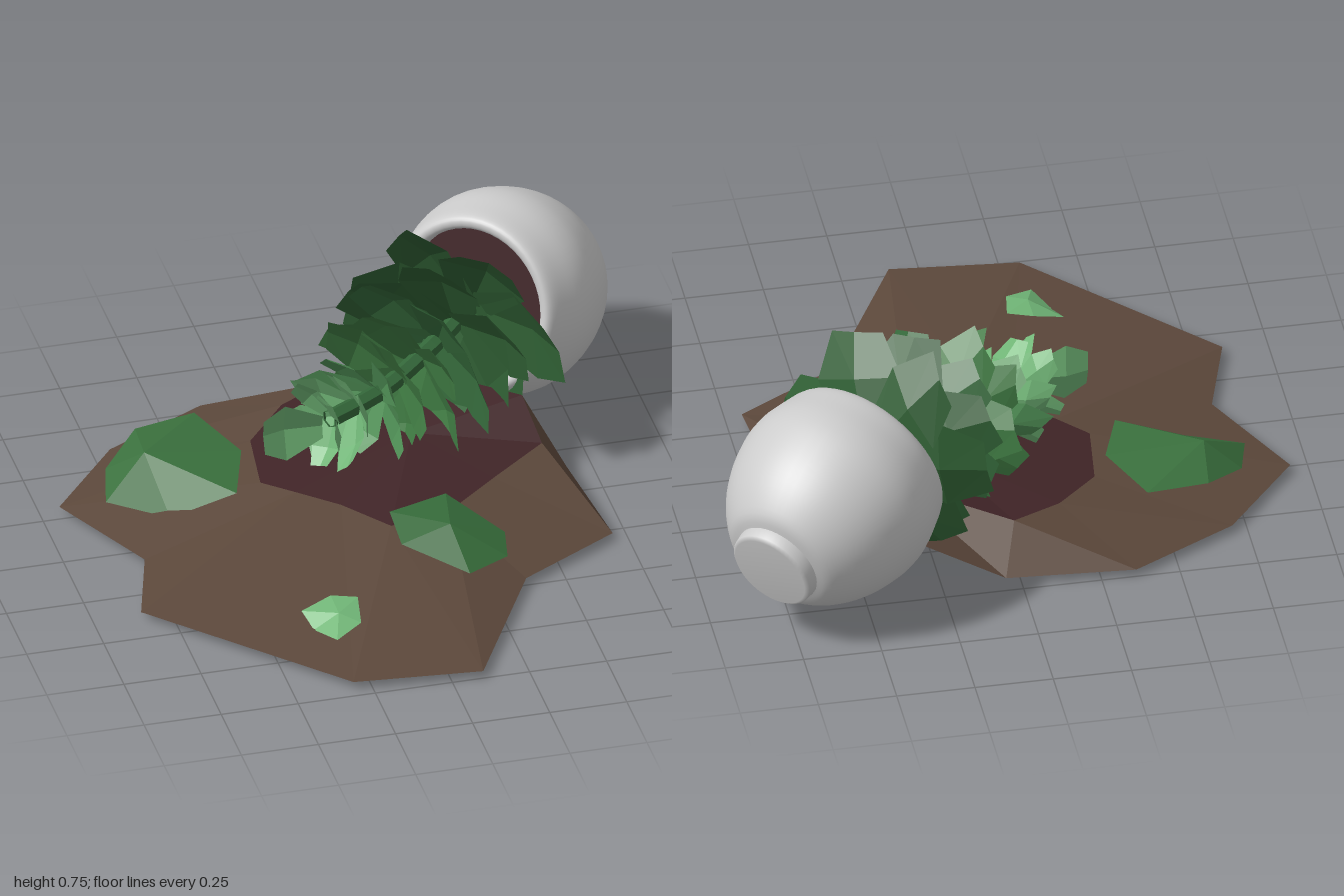
import * as THREE from 'three';

const material = (color, flat = true, side = THREE.FrontSide) =>
  new THREE.MeshStandardMaterial({ color, flatShading: flat, side, roughness: 0.9 });

const V = (x, y, z) => new THREE.Vector3(x, y, z);

function addMesh(parent, name, geometry, mat) {
  const mesh = new THREE.Mesh(geometry, mat);
  mesh.name = name;
  parent.add(mesh);
  return mesh;
}

// Geometry from a flat list of triangle corners
function fromCorners(corners) {
  const geometry = new THREE.BufferGeometry().setFromPoints(corners);
  geometry.computeVertexNormals();
  return geometry;
}

// Triangles from a centre to a closed outline
function fan(centre, ring, up = true) {
  const corners = [];
  ring.forEach((p, i) => {
    const q = ring[(i + 1) % ring.length];
    corners.push(centre, up ? q : p, up ? p : q);
  });
  return fromCorners(corners);
}

// Spilled soil: [outer x, z, inner x, y, z], clockwise seen from above
const SOIL = [
  [-0.36, -0.75, -0.16, 0.17, -0.51], [0.05, -0.72, 0.0, 0.18, -0.59],
  [0.35, -0.42, 0.34, 0.25, -0.43], [0.66, -0.11, 0.555, 0.245, -0.26],
  [0.7, 0.31, 0.57, 0.18, -0.07], [0.37, 0.5, 0.38, 0.16, 0.06],
  [0.1, 1.0, 0.2, 0.15, 0.2], [-0.31, 0.96, 0.0, 0.15, 0.24],
  [-0.85, 0.39, -0.12, 0.15, 0.08], [-0.76, 0.09, -0.24, 0.15, -0.03],
  [-0.94, -0.28, -0.33, 0.145, -0.12], [-0.7, -0.57, -0.3, 0.15, -0.36],
];

function buildSoil(group) {
  const outer = SOIL.map(([x, z]) => V(x, 0.055, z));
  const inner = SOIL.map(([, , x, y, z]) => V(x, y, z));
  const corners = [];
  outer.forEach((o, i) => {
    const j = (i + 1) % outer.length;
    corners.push(o, inner[i], inner[j], o, inner[j], outer[j]);
  });
  const brown = material(0x5c483b);
  addMesh(group, 'soilSlope', fromCorners(corners), brown);
  addMesh(group, 'soilUnderside', fan(V(0, 0.055, 0), outer, false), brown);
  addMesh(group, 'dampSoil', fan(V(0.18, 0.2, -0.2), inner), material(0x402427));
}

// Tipped barrel-shaped pot with a small foot, thick rim and soil inside
function buildPot(group) {
  const pot = new THREE.Group();
  pot.name = 'pot';
  const toPoints = (list) => list.map(([r, y]) => new THREE.Vector2(r, y));
  const foot = toPoints([[0, 0], [0.13, 0], [0.142, 0.01], [0.146, 0.045]]);
  const wall = new THREE.SplineCurve(toPoints([
    [0.146, 0.045], [0.192, 0.064], [0.254, 0.135], [0.3, 0.225], [0.327, 0.33], [0.328, 0.41],
    [0.309, 0.49], [0.291, 0.545], [0.27, 0.562], [0.247, 0.55], [0.245, 0.51], [0.25, 0.46],
  ])).getPoints(44);
  const clay = material(0xcccccc, false, THREE.DoubleSide);
  addMesh(pot, 'potFoot', new THREE.LatheGeometry(foot, 48), clay);
  addMesh(pot, 'potBody', new THREE.LatheGeometry(wall, 48), clay);
  const soil = addMesh(pot, 'pottedSoil', new THREE.CircleGeometry(0.25, 24), material(0x402427));
  soil.rotation.x = -Math.PI / 2;
  soil.position.y = 0.5;
  pot.position.set(0.838, 0.305, -0.898);
  pot.quaternion.setFromUnitVectors(V(0, 1, 0), V(-0.385, 0.135, 0.385).normalize());
  group.add(pot);
}

// Broad angular leaf along +y, folded on its midrib, lopsided at the tip, bent toward +z
function leafGeometry(length, width, skew) {
  const rows = [[0, 0.4, 0], [0.58, 1, -0.03], [0.93, 0.6, 0.07]];
  const geometry = new THREE.PlaneGeometry(2, 1, 2, 2);
  const pos = geometry.attributes.position;
  for (let i = 0; i < pos.count; i++) {
    const row = 2 - Math.floor(i / 3);
    const [t, w, bend] = rows[row];
    const side = pos.getX(i);
    const lift = row ? side * skew * 0.12 : 0;
    pos.setXYZ(i, side * w * width / 2, (t + lift) * length,
      bend * length + Math.abs(side) * 0.12 * w * width);
  }
  geometry.computeVertexNormals();
  return geometry;
}

// Stalk lying out of the pot with rings of leaves shrinking toward its tip
function buildPlant(group) {
  const plant = new THREE.Group();
  plant.name = 'plant';
  const path = new THREE.CatmullRomCurve3([
    V(0.53, 0.45, -0.59), V(0.31, 0.41, -0.38), V(0.09, 0.36, -0.22), V(-0.11, 0.35, -0.11)]);
  const greens = [0x2f5e33, 0x34683a, 0x3f7a42, 0x519257, 0x70b576]
    .map((c) => material(c, true, THREE.DoubleSide));
  addMesh(plant, 'stalk', new THREE.TubeGeometry(path, 12, 0.03, 6), greens[1]);

  let seed = 7;
  const jitter = () => ((seed = (seed * 16807) % 2147483647) / 2147483647) - 0.5;
  const rings = 8;
  for (let r = 0; r < rings; r++) {
    const t = r / (rings - 1);
    const u = 0.13 + 0.84 * t;
    const ring = new THREE.Group();
    ring.name = 'leafRing';
    ring.position.copy(path.getPointAt(u));
    ring.quaternion.setFromUnitVectors(V(0, 0, 1), path.getTangentAt(u));
    const count = r === 0 ? 6 : 5;
    for (let k = 0; k < count; k++) {
      const length = (0.41 - 0.23 * Math.pow(t, 1.1)) * (1 + 0.12 * jitter());
      const leaf = addMesh(ring, 'leaf', leafGeometry(length, length * (0.72 - 0.12 * t), 2 * jitter()),
        greens[Math.min(4, Math.floor(t * 5))]);
      leaf.rotation.order = 'ZXY';
      leaf.rotation.set(0.27 + 0.25 * t + 0.2 * jitter(), 0.4 * jitter(),
        (k / count) * Math.PI * 2 + Math.PI / 6 + r * 0.75 + 0.25 * jitter());
    }
    plant.add(ring);
  }

  // Pale leaf at the very tip
  const tip = addMesh(plant, 'tipLeaf', leafGeometry(0.21, 0.2, 0.1), greens[4]);
  tip.position.set(-0.14, 0.35, -0.08);
  tip.rotation.z = Math.PI / 2;
  group.add(plant);
}

// Loose leaves on the soil: outline [x, y, z] around a raised centre
const FALLEN = [
  { color: 0x3a703d, peak: [-0.66, 0.2, -0.3], outline: [
    [-0.81, 0.1, -0.2], [-0.77, 0.12, -0.36], [-0.64, 0.17, -0.49], [-0.44, 0.18, -0.52],
    [-0.35, 0.17, -0.28], [-0.42, 0.15, -0.07], [-0.63, 0.08, -0.09]] },
  { color: 0x356a39, peak: [0.16, 0.205, 0.36], outline: [
    [0, 0.19, 0.22], [0.19, 0.21, 0.19], [0.34, 0.14, 0.35], [0.32, 0.12, 0.46],
    [0.18, 0.12, 0.53], [0, 0.16, 0.37]] },
  { color: 0x70b576, peak: [-0.28, 0.125, 0.66], outline: [
    [-0.38, 0.1, 0.58], [-0.28, 0.13, 0.56], [-0.2, 0.13, 0.59], [-0.22, 0.11, 0.71],
    [-0.31, 0.09, 0.76], [-0.36, 0.075, 0.66]] },
];

export function createModel() {
  const group = new THREE.Group();
  group.name = 'spilledPottedPlant';
  buildSoil(group);
  buildPot(group);
  buildPlant(group);
  for (const { color, peak, outline } of FALLEN) {
    addMesh(group, 'fallenLeaf', fan(V(...peak), outline.map((p) => V(...p))),
      material(color, true, THREE.DoubleSide));
  }
  return group;
}
